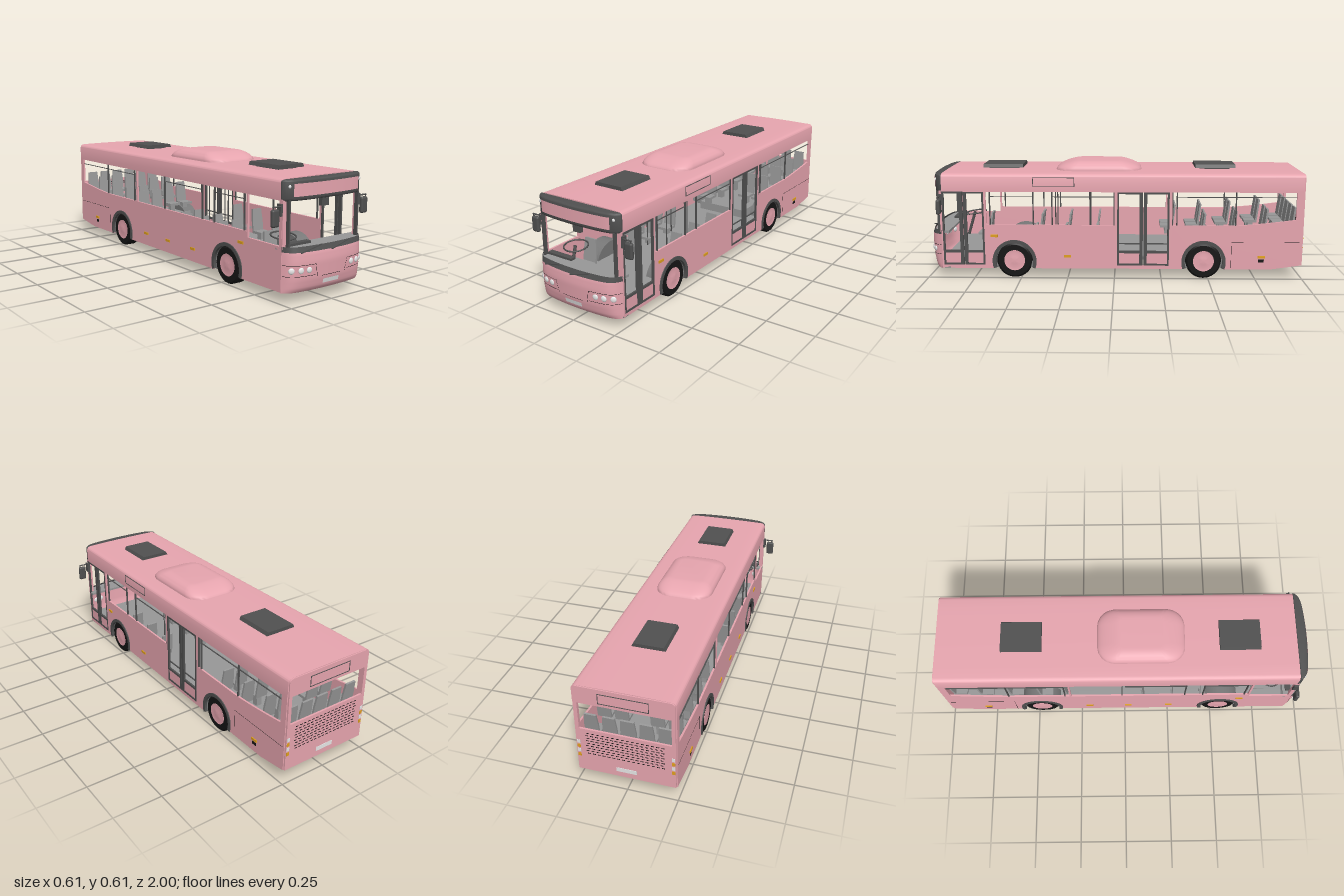
import * as THREE from 'three';
import { toCreasedNormals, mergeGeometries } from 'three/addons/utils/BufferGeometryUtils.js';
import { RoundedBoxGeometry } from 'three/addons/geometries/RoundedBoxGeometry.js';

const paint = (name, color, side = THREE.FrontSide) => {
  const m = new THREE.MeshStandardMaterial({ color, side });
  m.name = name;
  return m;
};

export function createModel() {
  const bus = new THREE.Group();
  bus.name = 'cityBus';
  const pink = paint('bodyPink', 0xeba8b2, THREE.DoubleSide);
  const dark = paint('trimCharcoal', 0x505050, THREE.DoubleSide);
  const under = paint('undersideGrey', 0x787878, THREE.DoubleSide);
  const grey = paint('interiorGrey', 0x989898);
  const black = paint('tyreBlack', 0x151515, THREE.DoubleSide);
  const pale = paint('lampWhite', 0xffffff, THREE.DoubleSide);
  const amber = paint('indicatorAmber', 0xe0a020);

  const add = (geo, mat, name, x = 0, y = 0, z = 0, parent = bus) => {
    const m = new THREE.Mesh(geo, mat);
    m.name = name;
    m.position.set(x, y, z);
    parent.add(m);
    return m;
  };
  // Box given by its limits on each axis
  const block = (x0, x1, y0, y1, z0, z1, mat, name) =>
    add(new THREE.BoxGeometry(x1 - x0, y1 - y0, z1 - z0), mat, name, (x0 + x1) / 2, (y0 + y1) / 2, (z0 + z1) / 2);
  const rectPath = (a, b, c, d, P = THREE.Path) =>
    new P([[a, c], [b, c], [b, d], [a, d]].map(p => new THREE.Vector2(...p)));
  // Extrude a (z, y) shape across x, from x0 - depth to x0
  const sidePlate = (shape, x0, depth, mat, name) => {
    const g = new THREE.ExtrudeGeometry(shape, { depth, bevelEnabled: false, curveSegments: 20 });
    return add(g.rotateY(-Math.PI / 2), mat, name, x0);
  };

  // Bowed front with tighter corners: z for a given x and centre line z
  const corner = 0.92;
  const bow = (x, zc) => {
    const s = Math.min(1, Math.abs(x) / 0.245), d = zc - corner;
    return zc - d * (0.4 * s * s + 0.6 * Math.pow(s, 12));
  };
  const noseLine = [[0.05, 0.968], [0.065, 0.983], [0.11, 0.994], [0.19, 1.0], [0.235, 0.996], [0.262, 0.985]];
  const noseZ = y => {
    let i = 0;
    while (i < noseLine.length - 2 && y > noseLine[i + 1][0]) i++;
    const [[a, za], [b, zb]] = [noseLine[i], noseLine[i + 1]];
    return za + (zb - za) * (y - a) / (b - a);
  };
  // Thin curved sheet lying on the front; skew slides its top edge sideways
  const sheet = (x0, x1, y0, y1, zAt, lift, rows, cols, skew = 0) => {
    const g = new THREE.PlaneGeometry(1, 1, cols, rows), p = g.attributes.position;
    for (let i = 0; i < p.count; i++) {
      const v = p.getY(i) + 0.5, y = y0 + (y1 - y0) * v;
      const x = x0 + (x1 - x0) * (p.getX(i) + 0.5) + skew * v;
      p.setXYZ(i, x, y, bow(x, zAt(y)) + lift);
    }
    g.computeVertexNormals();
    return g;
  };
  // Solid slab with the bowed front as its plan
  const bowSlab = (y0, y1, zc, zBack, bevel, mat, name) => {
    const pts = [];
    for (let i = 0; i <= 32; i++) {
      const x = 0.245 * Math.sin((i / 32 - 0.5) * Math.PI);
      pts.push(new THREE.Vector2(x, -bow(x, zc)));
    }
    pts.push(new THREE.Vector2(0.245, -zBack), new THREE.Vector2(-0.245, -zBack));
    const g = new THREE.ExtrudeGeometry(new THREE.Shape(pts), {
      depth: y1 - y0 - 2 * bevel, bevelEnabled: bevel > 0, bevelSize: bevel, bevelThickness: bevel, bevelOffset: -bevel, bevelSegments: 3 });
    return add(toCreasedNormals(g.rotateX(-Math.PI / 2), 0.6), mat, name, 0, y0 + bevel);
  };

  // Side walls with wheel arches, windows and doorways
  const wheelZ = [-0.475, 0.535], R = 0.112;
  const wall = right => {
    const s = new THREE.Shape();
    s.moveTo(-0.99, 0.075).lineTo(-0.83, 0.052);
    wheelZ.forEach(z => s.absarc(z, 0.09, R, Math.PI + 0.347, -0.347, true));
    s.lineTo(0.922, 0.052).lineTo(0.922, 0.475).lineTo(-0.99, 0.475);
    const rear = new THREE.Path();
    rear.moveTo(-0.955, 0.468).lineTo(-0.955, 0.322).quadraticCurveTo(-0.72, 0.29, -0.6, 0.29);
    rear.lineTo(-0.305, 0.29).lineTo(-0.305, 0.468);
    s.holes.push(rear);
    if (right) s.holes.push(rectPath(0, 0.68, 0.29, 0.468), rectPath(-0.29, -0.015, 0.07, 0.468), rectPath(0.692, 0.912, 0.07, 0.468));
    else s.holes.push(rectPath(-0.295, 0.68, 0.29, 0.468), rectPath(0.69, 0.905, 0.262, 0.468));
    return s;
  };
  sidePlate(wall(true), 0.245, 0.01, pink, 'rightDoorSideWall');
  sidePlate(wall(false), -0.235, 0.01, pink, 'plainSideWall');

  // Roof shell
  const roof = new THREE.Shape();
  roof.moveTo(-0.245, 0.472).lineTo(-0.245, 0.542).quadraticCurveTo(-0.243, 0.561, -0.22, 0.563);
  roof.quadraticCurveTo(0, 0.568, 0.22, 0.563).quadraticCurveTo(0.243, 0.561, 0.245, 0.542).lineTo(0.245, 0.472);
  roof.lineTo(0.235, 0.472).lineTo(0.235, 0.54).lineTo(0.215, 0.552).lineTo(-0.215, 0.552).lineTo(-0.235, 0.54).lineTo(-0.235, 0.472);
  const roofGeo = new THREE.ExtrudeGeometry(roof, { depth: 1.904, bevelEnabled: false, curveSegments: 8 });
  add(toCreasedNormals(roofGeo, 0.6), pink, 'roof', 0, 0, -0.992);

  // Rear wall, window and details
  const back = new THREE.Shape();
  back.moveTo(-0.24, 0.075).lineTo(0.24, 0.075).lineTo(0.24, 0.545).quadraticCurveTo(0.238, 0.56, 0.22, 0.562);
  back.lineTo(-0.22, 0.562).quadraticCurveTo(-0.238, 0.56, -0.24, 0.545);
  back.holes.push(rectPath(-0.222, 0.222, 0.322, 0.47));
  add(new THREE.ExtrudeGeometry(back, { depth: 0.01, bevelEnabled: false }), pink, 'rearWall', 0, 0, -0.998);
  const slits = [];
  for (let r = 0; r < 9; r++) for (let c = 0; c < 16; c++)
    slits.push(new THREE.BoxGeometry(0.014, 0.003, 0.003).translate(-0.18 + c * 0.024 + (r % 2) * 0.006, 0.18 + r * 0.015, -0.998));
  add(mergeGeometries(slits), black, 'rearGrille');
  // Dark slots along the inside of the engine cover
  for (const y of [0.288, 0.3]) block(-0.2, 0.2, y, y + 0.004, -0.988, -0.985, black, 'innerSlot');
  block(-0.05, 0.05, 0.105, 0.127, -1.0, -0.997, pale, 'rearPlate');
  for (const s of [-1, 1]) [amber, pale, amber, pale].forEach((m, i) =>
    add(new THREE.BoxGeometry(0.015, 0.018, 0.004), m, 'rearLamp', s * 0.229, 0.165 + i * 0.026, -0.998));

  // Outlined destination panels on the rear and the door side
  const frame = (a, b, c, d, t = 0.003) => {
    const s = rectPath(a, b, c, d, THREE.Shape);
    s.holes.push(rectPath(a + t, b - t, c + t, d - t));
    return s;
  };
  add(new THREE.ExtrudeGeometry(frame(-0.12, 0.12, 0.485, 0.54), { depth: 0.002, bevelEnabled: false }), dark, 'rearSignFrame', 0, 0, -1.0);
  sidePlate(frame(0.21, 0.43, 0.495, 0.545), 0.247, 0.003, dark, 'sideSignFrame');

  // Front: nose, dark band, dashboard, header and sign
  add(sheet(-0.245, 0.245, 0.05, 0.245, noseZ, 0, 16, 56), pink, 'nose');
  add(sheet(-0.245, 0.245, 0.238, 0.263, noseZ, 0.002, 3, 56), dark, 'windscreenBand');
  bowSlab(0.052, 0.06, 0.965, 0.88, 0, under, 'noseUnderside');
  bowSlab(0.245, 0.257, 0.98, 0.88, 0, grey, 'dashboard');
  block(-0.215, -0.065, 0.257, 0.268, 0.895, 0.925, dark, 'instrumentHood');
  bowSlab(0.466, 0.562, 0.966, 0.912, 0.01, dark, 'frontHeader');
  add(sheet(-0.205, 0.205, 0.486, 0.544, () => 0.966, 0.003, 1, 32), pink, 'frontSign');
  for (const s of [-1, 1]) {
    block(s * 0.233 - 0.011, s * 0.233 + 0.011, 0.25, 0.472, 0.91, 0.926, pink, 'frontPillar');
    block(s * 0.219 - 0.004, s * 0.219 + 0.004, 0.255, 0.472, 0.925, 0.945, dark, 'windscreenEdge');
    add(new THREE.SphereGeometry(0.008, 12, 8).scale(1, 1, 0.6), pale, 'markerLamp', s * 0.221, 0.532, bow(0.221, 0.966));
    for (const x of [0.135, 0.178, 0.219]) {
      const lamp = add(new THREE.SphereGeometry(0.0145, 20, 12).scale(1, 1, 0.4), pale, 'headlamp', s * x, 0.155, bow(x, noseZ(0.155)) + 0.001);
      lamp.rotation.y = s * 0.7 * Math.atan((bow(x - 0.01, 1) - bow(x + 0.01, 1)) / 0.02);
    }
    const [a, b] = s < 0 ? [-0.243, -0.1] : [0.1, 0.243];
    for (const y of [0.127, 0.178]) add(sheet(a, b, y, y + 0.002, noseZ, 0.0015, 1, 20), black, 'panelSeam');
    add(sheet(s * 0.087 - 0.001, s * 0.087 + 0.001, 0.118, 0.18, noseZ, 0.0015, 4, 1, s * 0.013), black, 'flapSeam');
    const wiper = add(new THREE.BoxGeometry(0.115, 0.005, 0.006), dark, 'wiper', s < 0 ? -0.125 : 0.05, 0.25, s < 0 ? 0.987 : 0.996);
    wiper.rotation.set(0, s < 0 ? -0.12 : 0.06, 0.25);
  }
  add(sheet(-0.06, 0.06, 0.118, 0.12, noseZ, 0.0015, 1, 6), black, 'flapSeam');
  add(sheet(-0.05, 0.05, 0.081, 0.102, noseZ, 0.003, 2, 8), pale, 'frontPlate');
  block(-0.022, 0.022, 0.426, 0.462, 0.925, 0.945, dark, 'cabMirror');

  // Outside mirrors
  for (const s of [-1, 1]) {
    block(s * 0.25 - 0.006, s * 0.25 + 0.006, 0.4, 0.455, 0.9, 0.925, dark, 'mirrorBracket');
    add(new THREE.CylinderGeometry(0.004, 0.004, 0.05, 8).rotateZ(Math.PI / 2), dark, 'mirrorArm', s * 0.275, 0.445, 0.922);
    add(new RoundedBoxGeometry(0.043, 0.08, 0.022, 4, 0.01), dark, 'mirrorHead', s * 0.285, 0.395, 0.92);
    add(new THREE.CylinderGeometry(0.003, 0.003, 0.02, 8), dark, 'mirrorStem', s * 0.297, 0.438, 0.922);
  }

  // Double doors: two leaves, each with an open glazed part and a lower panel
  for (const [z0, z1] of [[0.692, 0.914], [-0.29, -0.015]]) {
    const mid = (z0 + z1) / 2;
    for (const [a, b] of [[z0, mid - 0.002], [mid + 0.002, z1]]) {
      const leaf = rectPath(a, b, 0.07, 0.468, THREE.Shape);
      const [oa, ob] = a === z0 ? [a + 0.01, b - 0.018] : [a + 0.018, b - 0.01];
      leaf.holes.push(rectPath(oa, ob, 0.15, 0.458), rectPath(oa, ob, 0.08, 0.138));
      sidePlate(leaf, 0.246, 0.01, dark, 'doorLeaf');
      block(0.237, 0.243, 0.08, 0.138, oa, ob, pink, 'doorPanel');
      if (z0 < 0) block(0.234, 0.24, 0.186, 0.191, a, b, dark, 'doorBar');
    }
  }

  // Window posts, rails, side indicators and engine bay seams
  for (const s of [-1, 1]) {
    const posts = s > 0 ? [0.66, 0.43, 0.33, 0.002, -0.307, -0.33, -0.64] : [0.66, 0.43, 0.33, -0.015, -0.33, -0.64];
    const x = s * 0.24;
    for (const z of posts) block(x - 0.004, x + 0.004, 0.29, 0.47, z - 0.003, z + 0.003, dark, 'windowPost');
    for (const [a, b] of [[0.43, 0.66], [0, 0.33], [-0.955, -0.33]])
      block(x - 0.003, x + 0.003, 0.44, 0.443, a, b, dark, 'windowRail');
    const lamps = [[0.23, 0.64], [0.12, 0.25], [0.12, -0.78]];
    if (s < 0) lamps.push([0.12, 0.02], [0.12, -0.2]);
    for (const [y, z] of lamps)
      add(new THREE.BoxGeometry(0.008, 0.013, 0.038), amber, 'sideIndicator', s * 0.246, y, z);
    const skin = s * 0.245;
    block(skin - 0.001, skin + 0.001, 0.09, 0.106, -0.795, -0.765, black, 'sideVent');
    block(skin - 0.0005, skin + 0.0005, 0.2, 0.2015, -0.98, -0.62, black, 'engineSeam');
    block(skin - 0.0005, skin + 0.0005, 0.06, 0.2, -0.6215, -0.62, black, 'engineSeam');
  }

  // Floor between the skirts, cut away beside the wheels
  const floorPart = (x0, x1, z0, z1) => {
    block(x0, x1, 0.1, 0.118, z0, z1, under, 'underside');
    block(x0, x1, 0.118, 0.124, z0, z1, grey, 'floor');
  };
  floorPart(-0.16, 0.16, -0.985, 0.9);
  for (const s of [-1, 1]) for (const [a, b] of [[-0.985, -0.58], [-0.37, 0.43], [0.64, 0.9]])
    floorPart(Math.min(s * 0.16, s * 0.235), Math.max(s * 0.16, s * 0.235), a, b);
  block(-0.15, 0.15, 0.124, 0.17, -0.985, -0.3, grey, 'rearPlatform');

  // Wheels, wells and arch trims
  const lathe = pts => new THREE.LatheGeometry(pts.map(p => new THREE.Vector2(...p)), 36);
  const tyre = toCreasedNormals(lathe([[0, -0.033], [0.085, -0.033], [0.095, -0.024], [0.095, 0.024], [0.085, 0.033], [0.056, 0.033], [0.054, 0.02]]), 0.7);
  const hub = toCreasedNormals(lathe([[0.057, 0.02], [0.056, 0.034], [0.04, 0.032], [0.02, 0.035], [0, 0.036]]), 0.7);
  for (const s of [-1, 1]) for (const z of wheelZ) {
    const wheel = new THREE.Group();
    wheel.name = 'wheel';
    wheel.position.set(s * 0.209, 0.095, z);
    wheel.rotation.z = -s * Math.PI / 2;
    add(tyre, black, 'tyre', 0, 0, 0, wheel);
    add(hub, pink, 'hub', 0, 0, 0, wheel);
    bus.add(wheel);
    const well = new THREE.Shape();
    well.moveTo(z - R, 0.055).lineTo(z - R, 0.09).absarc(z, 0.09, R, Math.PI, 0, true).lineTo(z + R, 0.055);
    const inner = new THREE.Path();
    inner.moveTo(z - R + 0.006, 0.06).absarc(z, 0.09, R - 0.006, Math.PI, 0, true).lineTo(z + R - 0.006, 0.06);
    sidePlate(well, s > 0 ? 0.16 : -0.155, 0.005, under, 'wheelWellEnd');
    well.holes.push(inner);
    sidePlate(well, s > 0 ? 0.235 : -0.16, 0.075, under, 'wheelWell');
    const trim = new THREE.Shape();
    trim.absarc(z, 0.09, 0.118, -0.33, Math.PI + 0.33, false).absarc(z, 0.09, 0.1, Math.PI + 0.33, -0.33, true);
    sidePlate(trim, s > 0 ? 0.25 : -0.236, 0.014, dark, 'archTrim');
  }

  // Roof pod: soft dome, drawn in lengthways towards the top
  const pod = new THREE.Shape(), w = 0.083, l = 0.163, r = 0.03;
  pod.moveTo(-w + r, -l).lineTo(w - r, -l).quadraticCurveTo(w, -l, w, -l + r).lineTo(w, l - r).quadraticCurveTo(w, l, w - r, l);
  pod.lineTo(-w + r, l).quadraticCurveTo(-w, l, -w, l - r).lineTo(-w, -l + r).quadraticCurveTo(-w, -l, -w + r, -l);
  const podGeo = new THREE.ExtrudeGeometry(pod, { depth: 0.002, bevelSize: 0.07, bevelThickness: 0.051, bevelSegments: 10 }).rotateX(-Math.PI / 2);
  const pp = podGeo.attributes.position;
  for (let i = 0; i < pp.count; i++) {
    const y = Math.max(0, pp.getY(i));
    pp.setY(i, y);
    pp.setZ(i, pp.getZ(i) * (1 - 0.3 * (y / 0.053) ** 2));
  }
  add(toCreasedNormals(podGeo, 0.8), pink, 'roofPod', 0, 0.56, 0.088);

  // Roof hatches
  for (const z of [0.608, -0.543]) {
    block(-0.056, 0.056, 0.56, 0.58, z - 0.08, z + 0.08, dark, 'hatchBase');
    const lid = new THREE.BoxGeometry(0.17, 0.018, 0.216), lp = lid.attributes.position;
    for (let i = 0; i < lp.count; i++) if (lp.getY(i) > 0) lp.setX(i, lp.getX(i) * 0.9);
    lid.computeVertexNormals();
    add(lid, dark, 'hatchLid', 0, 0.582, z);
  }

  // Seats
  const seat = (x, z, top, floor, width = 0.07) => {
    const g = new THREE.Group();
    g.name = 'seat';
    g.position.set(x, top, z);
    const rest = new THREE.BoxGeometry(width, 0.13, 0.01, 1, 2), bp = rest.attributes.position;
    for (let i = 0; i < bp.count; i++) if (bp.getY(i) > 0.01) bp.setX(i, bp.getX(i) * 0.85);
    add(rest, grey, 'seatBack', 0, -0.065, 0, g).rotation.x = -0.13;
    add(new THREE.BoxGeometry(width, 0.014, 0.07), grey, 'seatCushion', 0, -0.125, 0.04, g);
    const h = Math.max(0.01, top - 0.13 - floor);
    add(new THREE.BoxGeometry(0.03, h, 0.03), grey, 'seatLeg', 0, -0.13 - h / 2, 0.035, g);
    bus.add(g);
  };
  [[-0.33, 0.34], [-0.475, 0.345], [-0.64, 0.36], [-0.805, 0.372], [-0.95, 0.382]].forEach(([z, top], i) => {
    for (const x of i ? [-0.18, -0.09, 0.09, 0.18] : [-0.18, -0.09]) seat(x, z, top, 0.17);
  });
  seat(0, -0.95, 0.382, 0.17, 0.076);
  for (const z of [0.1, 0.265, 0.425]) for (const x of [-0.18, -0.09, 0.18]) seat(x, z, 0.286, 0.124);
  seat(-0.13, 0.72, 0.285, 0.124, 0.08);

  // Steering wheel and handrail poles
  const steer = add(new THREE.TorusGeometry(0.06, 0.004, 8, 28), dark, 'steeringWheel', -0.135, 0.28, 0.815);
  steer.rotation.x = -1.45;
  add(new THREE.CylinderGeometry(0.008, 0.008, 0.14, 8), dark, 'steeringColumn', -0.135, 0.215, 0.84).rotation.x = -0.3;
  for (const [x, z] of [[-0.075, 0.33], [-0.055, 0.14], [0.053, 0.33], [0.053, 0.14]])
    add(new THREE.CylinderGeometry(0.003, 0.003, 0.43, 8), dark, 'handrailPole', x, 0.338, z);

  return bus;
}
